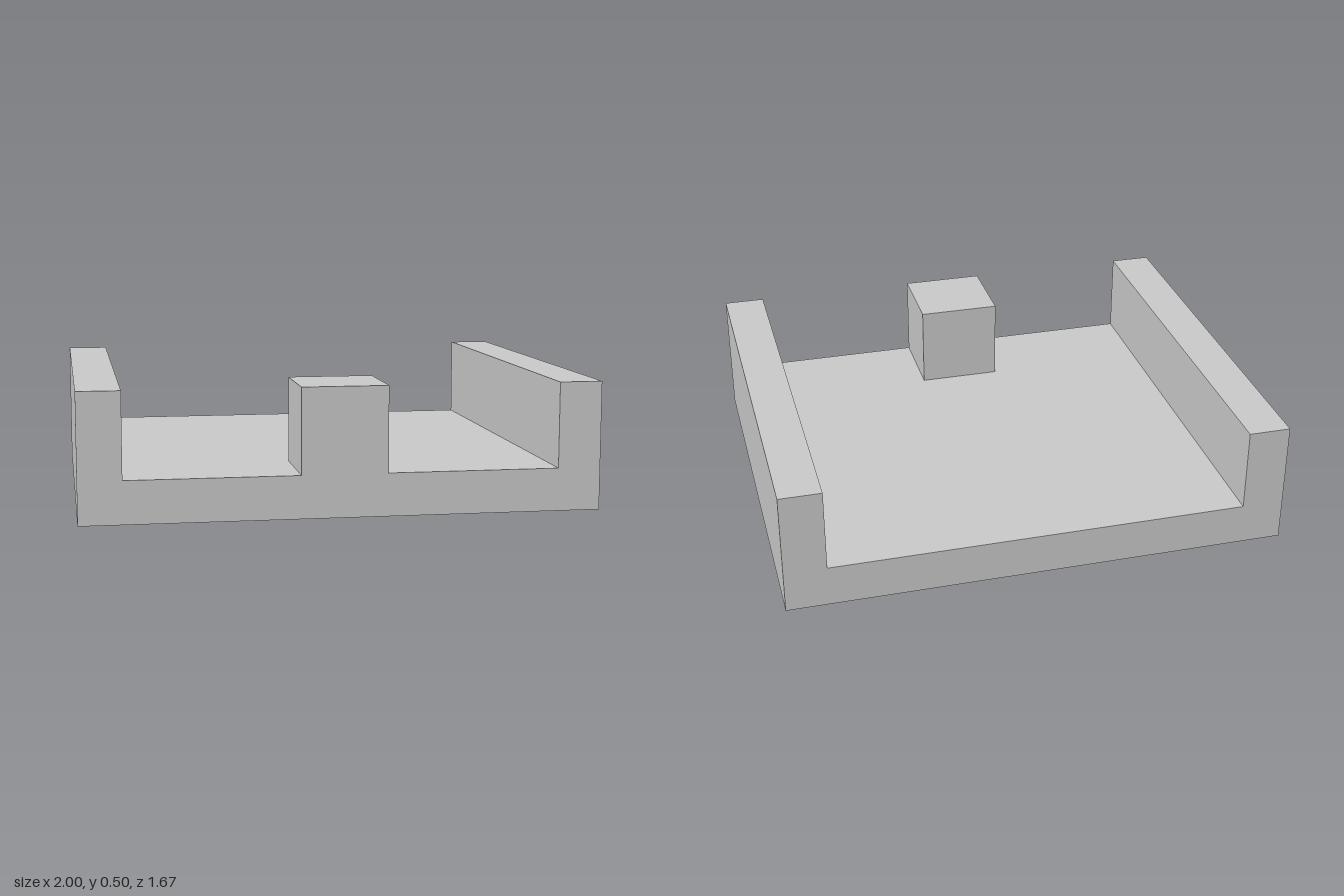
import * as THREE from 'three';

const U = 1 / 6;             // modular unit: wall and floor thickness
const HALF_WIDTH = 6 * U;
const DEPTH = 10 * U;
const HEIGHT = 3 * U;

export function createModel() {
  const group = new THREE.Group();
  group.name = 'channelTile';
  const material = new THREE.MeshStandardMaterial({ color: 0xcccccc, flatShading: true });

  // Floor and both side walls: one U-shaped section run from back to front
  const inner = HALF_WIDTH - U;
  const section = new THREE.Shape([
    [-HALF_WIDTH, 0], [HALF_WIDTH, 0], [HALF_WIDTH, HEIGHT], [inner, HEIGHT],
    [inner, U], [-inner, U], [-inner, HEIGHT], [-HALF_WIDTH, HEIGHT],
  ].map(([x, y]) => new THREE.Vector2(x, y)));
  const channelGeometry = new THREE.ExtrudeGeometry(section, { depth: DEPTH, bevelEnabled: false });
  channelGeometry.translate(0, 0, -DEPTH / 2);
  const channel = new THREE.Mesh(channelGeometry, material);
  channel.name = 'floorAndSideWalls';
  group.add(channel);

  // Cube standing on the floor, flush with the front edge
  const block = new THREE.Mesh(new THREE.BoxGeometry(2 * U, 2 * U, 2 * U), material);
  block.name = 'frontBlock';
  block.position.set(0, 2 * U, DEPTH / 2 - U);
  group.add(block);

  return group;
}
